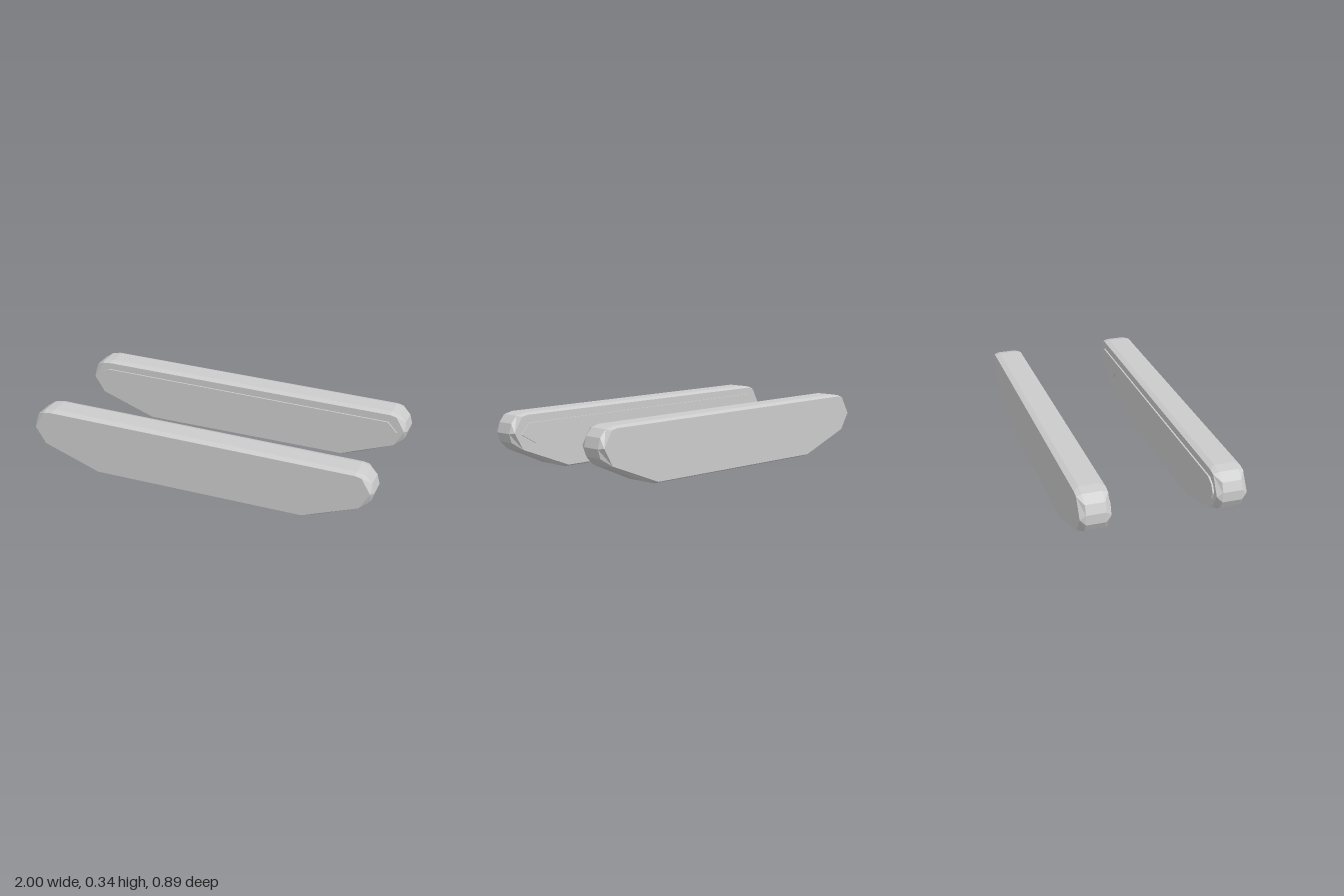
import * as THREE from 'three';

const CENTER_Z = 0.3625, HALF = 0.0825, BEVEL = 0.03;

// Each row: widest outline x, y, then the side-face outline x, y (counter-clockwise)
const OUTLINE = [
  [-0.59, 0, -0.6, 0.012],
  [0.62, 0, 0.62, 0.012],
  [0.70, 0.022, 0.62, 0.012],
  [0.94, 0.125, 0.93, 0.13],
  [0.985, 0.17, 0.93, 0.13],
  [1, 0.22, 0.985, 0.225],
  [0.985, 0.275, 0.985, 0.225],
  [0.95, 0.315, 0.935, 0.31],
  [0.90, 0.328, 0.90, 0.318],
  [-0.87, 0.345, -0.89, 0.333],
  [-0.93, 0.335, -0.93, 0.325],
  [-0.98, 0.30, -0.93, 0.325],
  [-1, 0.25, -0.99, 0.225],
  [-1, 0.195, -0.99, 0.225],
  [-0.975, 0.15, -0.93, 0.13],
  [-0.93, 0.122, -0.93, 0.13],
  [-0.68, 0.022, -0.6, 0.012],
];

// Raised panel on the inner side, with a stepped lower edge
const PANEL = [
  [-0.73, 0.16], [-0.70, 0.195], [0.66, 0.195], [0.70, 0.16], [0.85, 0.16],
  [0.945, 0.215], [0.89, 0.275], [-0.89, 0.293], [-0.935, 0.27],
  [-0.955, 0.23], [-0.94, 0.19], [-0.89, 0.16],
];

// Track body: four cross-sections along z, joined by quads and capped by fans
function trackGeometry() {
  const n = OUTLINE.length;
  const sections = [[-HALF, 2], [-HALF + BEVEL, 0], [HALF - BEVEL, 0], [HALF, 2]];
  const positions = [], index = [];
  for (const [z, k] of sections) {
    for (const p of OUTLINE) positions.push(p[k], p[k + 1], z);
  }
  for (let s = 0; s < 3; s++) {
    for (let i = 0; i < n; i++) {
      const a = s * n + i, b = s * n + (i + 1) % n;
      index.push(a, b, b + n, a, b + n, a + n);
    }
  }
  for (let i = 1; i < n - 1; i++) {
    index.push(0, i + 1, i);
    index.push(3 * n, 3 * n + i, 3 * n + i + 1);
  }
  const indexed = new THREE.BufferGeometry();
  indexed.setAttribute('position', new THREE.Float32BufferAttribute(positions, 3));
  indexed.setIndex(index);
  const geometry = indexed.toNonIndexed();
  geometry.computeVertexNormals();
  return geometry;
}

export function createModel() {
  const model = new THREE.Group();
  model.name = 'trackPair';
  const material = new THREE.MeshStandardMaterial({ color: 0xcccccc, flatShading: true });

  const bodyGeometry = trackGeometry();
  const shape = new THREE.Shape(PANEL.map(([x, y]) => new THREE.Vector2(x, y)));
  const depth = 0.018;
  const panelGeometry = new THREE.ExtrudeGeometry(shape, { depth, bevelEnabled: false });
  panelGeometry.translate(0, 0, -depth / 2);

  // Front and back tracks, panels facing each other
  for (const [name, side] of [['frontTrack', 1], ['backTrack', -1]]) {
    const track = new THREE.Group();
    track.name = name;
    track.position.z = side * CENTER_Z;

    const body = new THREE.Mesh(bodyGeometry, material);
    body.name = 'trackBody';
    const panel = new THREE.Mesh(panelGeometry, material);
    panel.name = 'innerPanel';
    panel.position.z = -side * HALF;

    track.add(body, panel);
    model.add(track);
  }
  return model;
}
